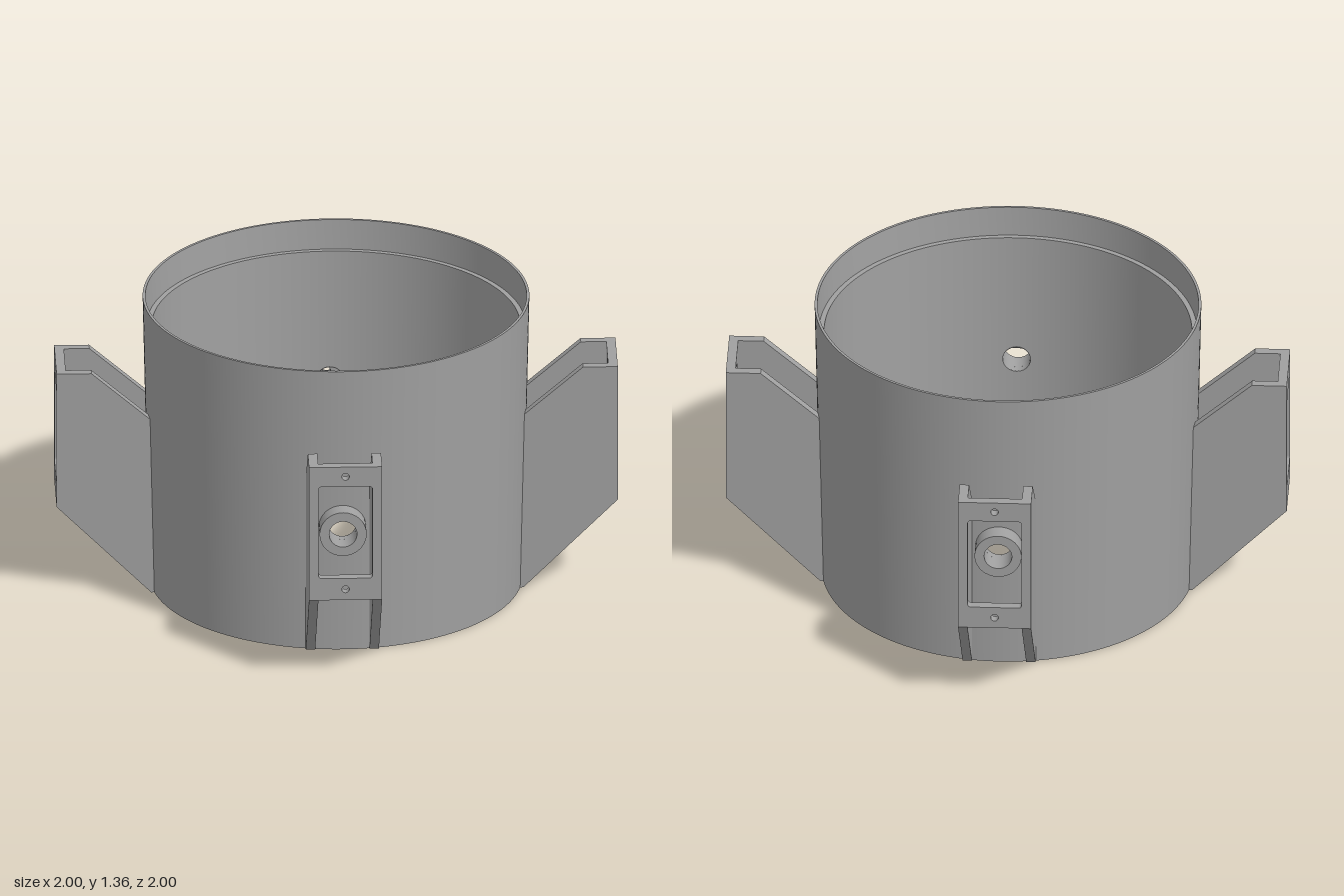
import * as THREE from 'three';
import { toCreasedNormals } from 'three/addons/utils/BufferGeometryUtils.js';

const COLS = 192, STEP = (Math.PI * 2) / COLS, HALF = 4; // port patch is 8 columns wide
const PORT_Y = 0.6, PORT_R = 0.062, PATCH_H = 0.11;
const D_OUT = 1.2516, HALF_W = 0.163, T = 0.042;

// Slightly conical wall with four round ports on the diagonals
function wallGeometry(r0, r1, height, sign) {
  const pos = [], nor = [];
  const slope = (r1 - r0) / height;
  const vertex = ([th, y]) => {
    const r = r0 + slope * y;
    pos.push(r * Math.sin(th), y, r * Math.cos(th));
    const n = new THREE.Vector3(Math.sin(th), -slope, Math.cos(th)).normalize().multiplyScalar(sign);
    nor.push(n.x, n.y, n.z);
  };
  const quad = (a, b, c, d) => {
    (sign > 0 ? [a, b, c, a, c, d] : [a, c, b, a, d, c]).forEach(vertex);
  };
  const rows = [0, PORT_Y - PATCH_H, PORT_Y + PATCH_H, height];
  for (let i = 0; i < COLS; i++) {
    const a = i * STEP, b = a + STEP, q = i % 48;
    for (let j = 0; j < 3; j++) {
      if (j === 1 && q >= 24 - HALF && q < 24 + HALF) continue;
      quad([a, rows[j]], [b, rows[j]], [b, rows[j + 1]], [a, rows[j + 1]]);
    }
  }
  // Square-to-circle patch around each port
  const rMid = r0 + slope * PORT_Y;
  const square = [];
  for (let s = 0; s < 4; s++) {
    for (let k = 0; k < 2 * HALF; k++) {
      const t = k / HALF - 1;
      square.push([[t, -1], [1, t], [-t, 1], [-1, -t]][s]);
    }
  }
  for (let p = 0; p < 4; p++) {
    const c = Math.PI / 4 + (p * Math.PI) / 2;
    const outer = ([u, v]) => [c + u * HALF * STEP, PORT_Y + v * PATCH_H];
    const inner = ([u, v]) => {
      const l = Math.hypot(u, v);
      return [c + Math.asin((u / l) * PORT_R / rMid), PORT_Y + (v / l) * PORT_R];
    };
    square.forEach((s, i) => {
      const n = square[(i + 1) % square.length];
      quad(outer(s), outer(n), inner(n), inner(s));
    });
  }
  const g = new THREE.BufferGeometry();
  g.setAttribute('position', new THREE.Float32BufferAttribute(pos, 3));
  g.setAttribute('normal', new THREE.Float32BufferAttribute(nor, 3));
  return g;
}

function lathe(points, segments) {
  const g = new THREE.LatheGeometry(points.map(([x, y]) => new THREE.Vector2(x, y)), segments);
  return toCreasedNormals(g, 0.5);
}

// Rounded rectangle outline centred on x = 0
function roundedHole(hw, y0, y1, r) {
  const p = new THREE.Path();
  p.moveTo(-hw + r, y0);
  p.lineTo(hw - r, y0).quadraticCurveTo(hw, y0, hw, y0 + r);
  p.lineTo(hw, y1 - r).quadraticCurveTo(hw, y1, hw - r, y1);
  p.lineTo(-hw + r, y1).quadraticCurveTo(-hw, y1, -hw, y1 - r);
  p.lineTo(-hw, y0 + r).quadraticCurveTo(-hw, y0, -hw + r, y0);
  return p;
}

export function createModel() {
  const model = new THREE.Group();
  model.name = 'ringHousing';
  const grey = new THREE.MeshStandardMaterial({ color: 0xa0a0a0, side: THREE.DoubleSide });
  grey.name = 'grey';
  const add = (parent, name, geometry) => {
    const m = new THREE.Mesh(geometry, grey);
    m.name = name;
    parent.add(m);
    return m;
  };

  // Shell: walls, bottom edge, and thin upper lip with an inner ledge
  add(model, 'outerWall', wallGeometry(0.832, 0.862, 1.36, 1));
  add(model, 'innerWall', wallGeometry(0.802, 0.82, 1.22, -1));
  add(model, 'bottomEdge', lathe([[0.802, 0], [0.832, 0]], COLS));
  add(model, 'upperLip', lathe([[0.862, 1.36], [0.85, 1.36], [0.843, 1.22], [0.82, 1.22]], COLS));

  // Bracket cheek, drawn as radial distance against height
  const cheek = new THREE.Shape([
    [0.803, 0], [0.83, 0], [D_OUT, 0.42], [D_OUT, 1.065], [1.096, 1.065], [0.835, 0.84], [0.817, 0.824],
  ].map(([x, y]) => new THREE.Vector2(x, y)));
  const cheekGeo = new THREE.ExtrudeGeometry(cheek, { depth: T, bevelEnabled: false });

  // Bracket face plate with window and two screw holes
  const face = new THREE.Shape([
    [-HALF_W, 0.42], [HALF_W, 0.42], [HALF_W, 1.065], [-HALF_W, 1.065],
  ].map(([x, y]) => new THREE.Vector2(x, y)));
  face.holes.push(roundedHole(0.12, 0.525, 0.97, 0.015));
  for (const y of [0.472, 1.018]) {
    face.holes.push(new THREE.Path().absarc(0, y, 0.017, 0, Math.PI * 2, true));
  }
  const faceGeo = new THREE.ExtrudeGeometry(face, { depth: T, bevelEnabled: false, curveSegments: 10 });
  faceGeo.rotateY(Math.PI / 2).translate(D_OUT - T, 0, 0);

  // Hollow boss lining the port
  const bossGeo = lathe([[0.105, 0.825], [0.105, 0.93], [PORT_R, 0.93], [PORT_R, 0.806]], 32);
  bossGeo.rotateZ(-Math.PI / 2).translate(0, PORT_Y, 0);

  for (let i = 0; i < 4; i++) {
    const bracket = new THREE.Group();
    bracket.name = 'bracket' + (i + 1);
    bracket.rotation.y = Math.PI / 4 + (i * Math.PI) / 2;
    add(bracket, 'cheekA', cheekGeo).position.z = HALF_W - T;
    add(bracket, 'cheekB', cheekGeo).position.z = -HALF_W;
    add(bracket, 'facePlate', faceGeo);
    add(bracket, 'portBoss', bossGeo);
    model.add(bracket);
  }
  return model;
}
